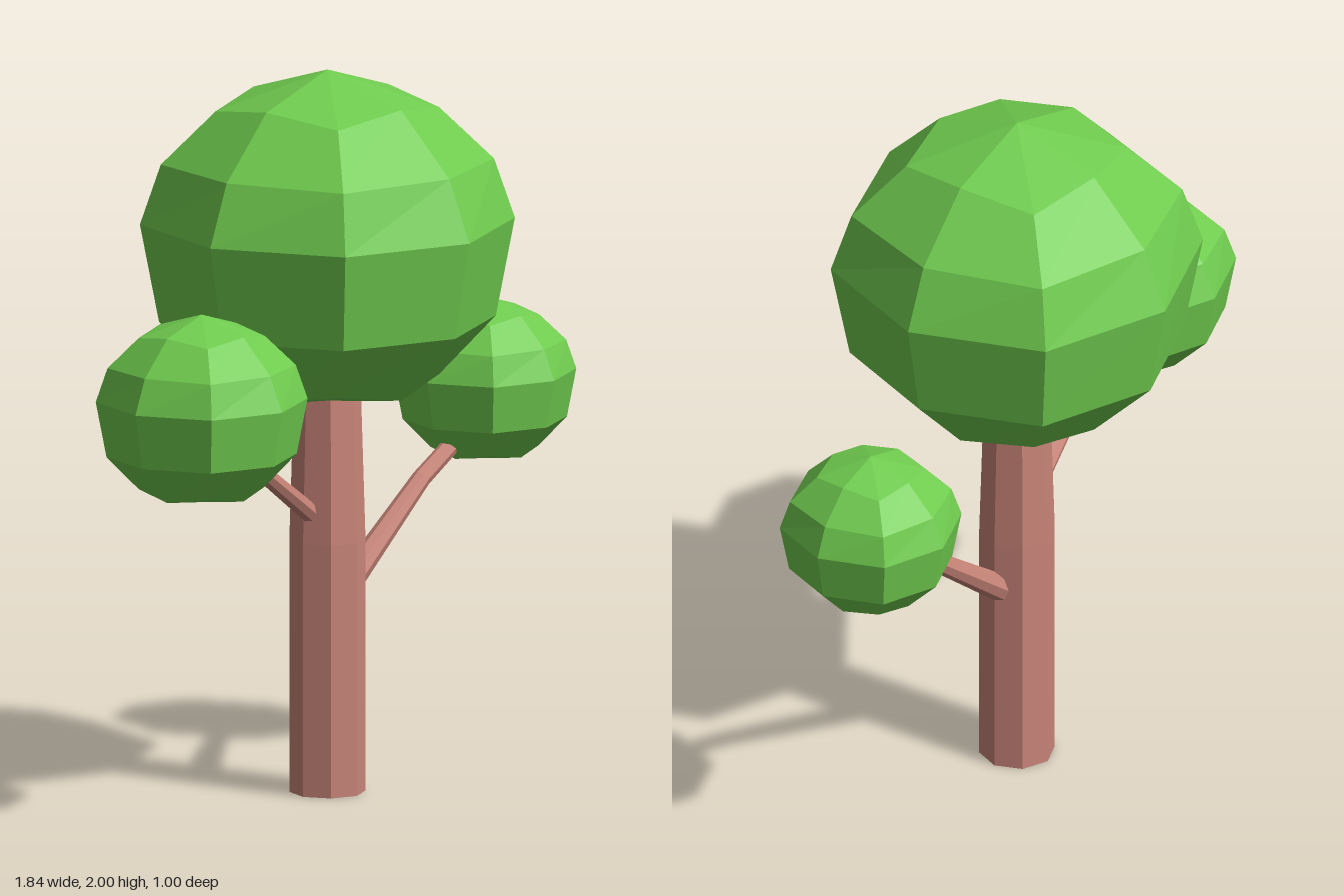
import * as THREE from 'three';

const SIDES = 8;

// Faceted geometry from shared corners
function faceted(points, faces) {
  const g = new THREE.BufferGeometry();
  g.setAttribute('position', new THREE.Float32BufferAttribute(points.flat(), 3));
  g.setIndex(faces.flat());
  const flat = g.toNonIndexed();
  flat.computeVertexNormals();
  return flat;
}

// Joins rings of SIDES corners from bottom to top, closing both ends to a centre
function skin(rings, bottom, top) {
  const points = [...rings.flat(), bottom, top];
  const n = rings.length, b = n * SIDES, t = b + 1, faces = [];
  for (let i = 0; i < SIDES; i++) {
    const j = (i + 1) % SIDES;
    faces.push([b, j, i]);
    for (let r = 0; r < n - 1; r++) {
      const lo = r * SIDES, hi = lo + SIDES;
      faces.push([lo + i, lo + j, hi + j], [lo + i, hi + j, hi + i]);
    }
    faces.push([t, (n - 1) * SIDES + i, (n - 1) * SIDES + j]);
  }
  return faceted(points, faces);
}

// Rounded-cube crown: each ring is [mid radius, mid height, corner radius, corner height]
const CROWN = [
  [0.26, 0.035, 0.305, 0.07],
  [0.45, 0.23, 0.46, 0.23],
  [0.5, 0.5, 0.512, 0.5],
  [0.43, 0.67, 0.455, 0.665],
  [0.26, 0.84, 0.305, 0.81],
];
function crownGeometry() {
  const rings = CROWN.map(([mr, my, cr, cy]) =>
    Array.from({ length: SIDES }, (_, i) => {
      const a = (i / SIDES) * Math.PI * 2;
      const r = i % 2 ? cr : mr;
      return [Math.sin(a) * r, i % 2 ? cy : my, Math.cos(a) * r];
    }));
  return skin(rings, [0, 0, 0], [0, 0.92, 0]);
}

// Tapered eight-sided limb along stops of [x, y, z, radius]
function limbGeometry(stops) {
  const pts = stops.map(([x, y, z]) => new THREE.Vector3(x, y, z));
  const rings = stops.map((s, k) => {
    const dir = pts[Math.min(k + 1, pts.length - 1)].clone()
      .sub(pts[Math.max(k - 1, 0)]).normalize();
    const q = new THREE.Quaternion().setFromUnitVectors(new THREE.Vector3(0, 1, 0), dir);
    return Array.from({ length: SIDES }, (_, i) => {
      const a = (i / SIDES) * Math.PI * 2;
      return new THREE.Vector3(Math.sin(a) * s[3], 0, Math.cos(a) * s[3])
        .applyQuaternion(q).add(pts[k]).toArray();
    });
  });
  return skin(rings, pts[0].toArray(), pts[pts.length - 1].toArray());
}

export function createModel() {
  const tree = new THREE.Group();
  tree.name = 'tree';

  const bark = new THREE.MeshStandardMaterial({ color: 0xc98579 });
  bark.name = 'bark';
  const leaves = new THREE.MeshStandardMaterial({ color: 0x70cc4f });
  leaves.name = 'leaves';
  bark.flatShading = leaves.flatShading = true;

  const add = (name, geometry, material) => {
    const mesh = new THREE.Mesh(geometry, material);
    mesh.name = name;
    tree.add(mesh);
    return mesh;
  };

  // Trunk and branches
  add('trunk', limbGeometry([[0, 0, 0, 0.104], [0, 0.7, 0, 0.104], [0, 1.16, 0, 0.09]]), bark);
  add('leftBranch', limbGeometry([
    [0.06, 0.54, 0, 0.038], [0.4, 0.805, 0, 0.026], [0.62, 0.93, 0, 0.024],
  ]), bark);
  add('rightBranch', limbGeometry([
    [-0.05, 0.765, 0, 0.029], [-0.52, 1.06, 0.065, 0.021],
  ]), bark);

  // Crowns: name, base position, scale
  const crown = crownGeometry();
  [
    ['mainCrown', [0, 1.08, 0], 1],
    ['leftCrown', [0.672, 0.82, 0], 0.488],
    ['rightCrown', [-0.64, 0.91, 0.085], 0.565],
  ].forEach(([name, position, scale]) => {
    const mesh = add(name, crown, leaves);
    mesh.position.set(...position);
    mesh.scale.setScalar(scale);
  });

  return tree;
}
